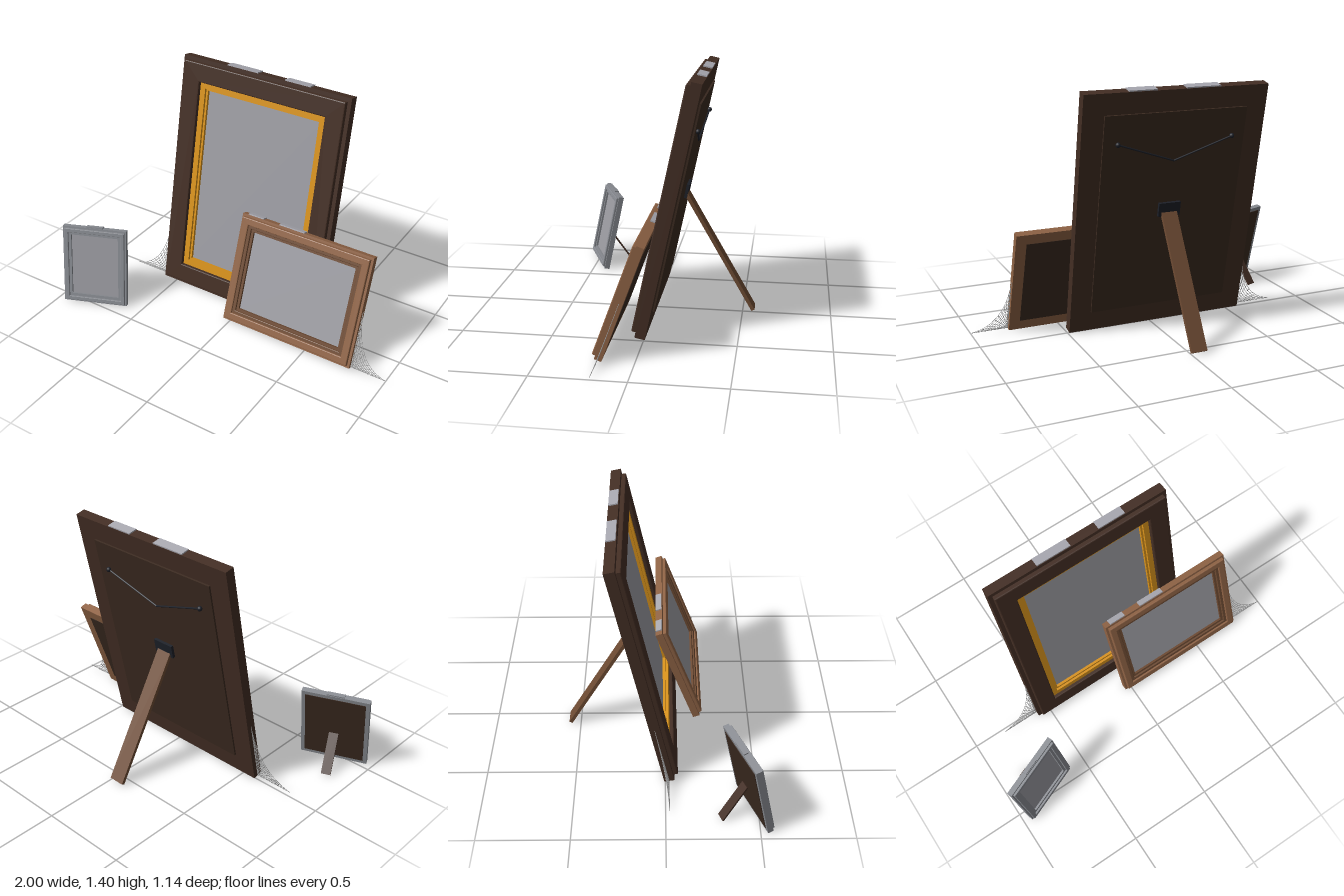
import * as THREE from 'three';

const mat = (name, color, side = THREE.FrontSide) =>
  Object.assign(new THREE.MeshStandardMaterial({ color, side }), { name });

export function createModel() {
  const M = {
    dark: mat('darkWood', 0x432e24),
    backing: mat('backingBoard', 0x3b2a20),
    wood: mat('warmWood', 0x8f6345),
    brown: mat('brownWood', 0x6e4b33),
    gold: mat('gilding', 0xd8921b),
    silver: mat('silver', 0x8a8d93),
    glass: mat('glass', 0x9c9ca2),
    iron: mat('iron', 0x1d2028),
    dust: mat('dust', 0xa8a8b0),
    web: mat('cobweb', 0xb4b4b4, THREE.DoubleSide),
  };
  const root = new THREE.Group();
  root.name = 'pictureFrames';

  const add = (parent, name, geo, material, x = 0, y = 0, z = 0) => {
    const m = new THREE.Mesh(geo, material);
    m.name = name;
    m.position.set(x, y, z);
    parent.add(m);
    return m;
  };
  const box = (parent, name, material, w, h, d, x, y, z) =>
    add(parent, name, new THREE.BoxGeometry(w, h, d), material, x, y, z);

  const rect = (path, w, h, inset) => {
    const x = w / 2 - inset, y0 = inset, y1 = h - inset;
    path.moveTo(-x, y0);
    path.lineTo(x, y0);
    path.lineTo(x, y1);
    path.lineTo(-x, y1);
    path.closePath();
    return path;
  };

  // Rectangular moulding from inset a to inset b, between depths z0 and z1
  const ring = (parent, name, material, w, h, a, b, z0, z1, bevel = 0) => {
    const s = rect(new THREE.Shape(), w, h, a + bevel);
    s.holes.push(rect(new THREE.Path(), w, h, b - bevel));
    const geo = new THREE.ExtrudeGeometry(s, {
      depth: z1 - z0 - 2 * bevel, bevelEnabled: bevel > 0,
      bevelSize: bevel, bevelThickness: bevel, bevelSegments: 2,
    });
    add(parent, name, geo, material, 0, 0, z0 + bevel);
  };

  // A frame leaning back about its lower rear edge
  const frame = (name, x, z, yaw, lean, w, h, spec) => {
    const base = new THREE.Group();
    base.name = name;
    base.position.set(x, 0.003, z);
    base.rotation.y = yaw;
    root.add(base);
    const body = new THREE.Group();
    body.name = name + 'Body';
    body.rotation.x = -lean;
    base.add(body);
    for (const [part, material, a, b, z0, z1, bevel] of spec.rings)
      ring(body, part, material, w, h, a, b, z0, z1, bevel);
    const [gi, gz] = spec.glass;
    box(body, 'glassPane', M.glass, w - 2 * gi, h - 2 * gi, 0.008, 0, h / 2, gz - 0.004);
    const [bi, bz0, bz1] = spec.back;
    box(body, 'backPanel', M.backing, w - 2 * bi, h - 2 * bi, bz1 - bz0, 0, h / 2, (bz0 + bz1) / 2);
    for (const [dx, dw, dz, dd] of spec.dust)
      box(body, 'dustPatch', M.dust, dw, 0.008, dd, dx, h + 0.003, dz);
    return { base, body };
  };

  // Easel leg running between two points in the y-z plane
  const leg = (parent, material, w, t, y1, z1, y2, z2) => {
    const m = box(parent, 'easelLeg', material, w, Math.hypot(y1 - y2, z1 - z2), t,
      0, (y1 + y2) / 2, (z1 + z2) / 2);
    m.rotation.x = Math.atan2(z1 - z2, y1 - y2);
  };

  const tube = (parent, name, material, pts, r, seg, sides) =>
    add(parent, name, new THREE.TubeGeometry(new THREE.CatmullRomCurve3(pts), seg, r, sides), material);

  // Cobweb filling the corner between a frame's side and the ground
  const cobweb = (parent, x, z, dir, len, high) => {
    const g = new THREE.Group();
    g.name = 'cobweb';
    g.position.set(x, 0.004, z);
    parent.add(g);
    const edge = new THREE.QuadraticBezierCurve(
      new THREE.Vector2(0, high), new THREE.Vector2(0.1 * len, 0.1 * high), new THREE.Vector2(len, 0));
    const at = (t, s) => {
      const p = edge.getPoint(t);
      return new THREE.Vector3(dir * p.x * s, p.y * s, 0);
    };
    for (let i = 0; i <= 12; i++)
      tube(g, 'radialThread', M.web, [at(i / 12, 0), at(i / 12, 1)], 0.0016, 1, 3);
    for (let k = 1; k <= 9; k++)
      tube(g, 'crossThread', M.web, Array.from({ length: 9 }, (_, i) => at(i / 8, k / 9)), 0.0016, 16, 3);
  };

  // Large dark frame with gilded inner lip
  const large = frame('largeFrame', -0.045, -0.005, 0, 0.2094, 1.07, 1.412, {
    rings: [
      ['outerFrame', M.dark, 0, 0.14, 0, 0.057],
      ['raisedMoulding', M.dark, 0.022, 0.13, 0.05, 0.083, 0.006],
      ['gildedLip', M.gold, 0.125, 0.163, 0.03, 0.062],
      ['gildedInnerStep', M.gold, 0.16, 0.175, 0.025, 0.048],
    ],
    glass: [0.135, 0.032],
    back: [0.12, -0.01, 0.022],
    dust: [[-0.145, 0.2, 0.028, 0.052], [0.205, 0.16, 0.028, 0.052]],
  });
  // Hanging wire, its screws and the leg hinge
  const L = new THREE.Vector3(-0.335, 1.132, -0.02), R = new THREE.Vector3(0.335, 1.132, -0.02);
  const sag = new THREE.Vector3(0, 1.013, -0.016);
  for (const p of [L, R]) {
    add(large.body, 'wireScrew', new THREE.SphereGeometry(0.014, 12, 8), M.iron, p.x, p.y, p.z);
    tube(large.body, 'hangingWire', M.iron, [p, sag], 0.005, 1, 6);
  }
  box(large.body, 'hinge', M.iron, 0.13, 0.08, 0.016, 0, 0.725, -0.018);
  leg(large.base, M.brown, 0.092, 0.02, 0.7, -0.155, 0.008, -0.555);
  cobweb(large.body, -0.535, 0.028, -1, 0.23, 0.38);

  // Medium landscape frame resting against the large one
  const medium = frame('mediumFrame', 0.375, 0.172, 0, 0.349, 0.83, 0.652, {
    rings: [
      ['outerFrame', M.wood, 0, 0.075, 0, 0.04],
      ['raisedMoulding', M.wood, 0.014, 0.056, 0.035, 0.06, 0.005],
      ['innerMoulding', M.brown, 0.05, 0.075, 0.03, 0.05, 0.004],
      ['innerLip', M.brown, 0.072, 0.09, 0.02, 0.04],
    ],
    glass: [0.07, 0.026],
    back: [0.06, -0.002, 0.018],
    dust: [[-0.33, 0.1, 0.02, 0.036], [-0.095, 0.16, 0.02, 0.036]],
  });
  cobweb(medium.body, 0.415, 0.02, 1, 0.21, 0.33);

  // Small silver frame, turned to the side
  const small = frame('smallFrame', -0.783, 0.467, 0.384, 0.2094, 0.385, 0.48, {
    rings: [
      ['outerFrame', M.silver, 0, 0.045, 0, 0.032],
      ['raisedMoulding', M.silver, 0.01, 0.034, 0.028, 0.045, 0.003],
      ['innerLip', M.silver, 0.03, 0.05, 0.015, 0.034],
    ],
    glass: [0.04, 0.022],
    back: [0.022, -0.003, 0.014],
    dust: [],
  });
  box(small.body, 'topOrnament', M.silver, 0.1, 0.01, 0.026, 0, 0.482, 0.016);
  leg(small.base, M.dark, 0.055, 0.01, 0.2, -0.05, 0.004, -0.215 + 0.03);

  return root;
}
